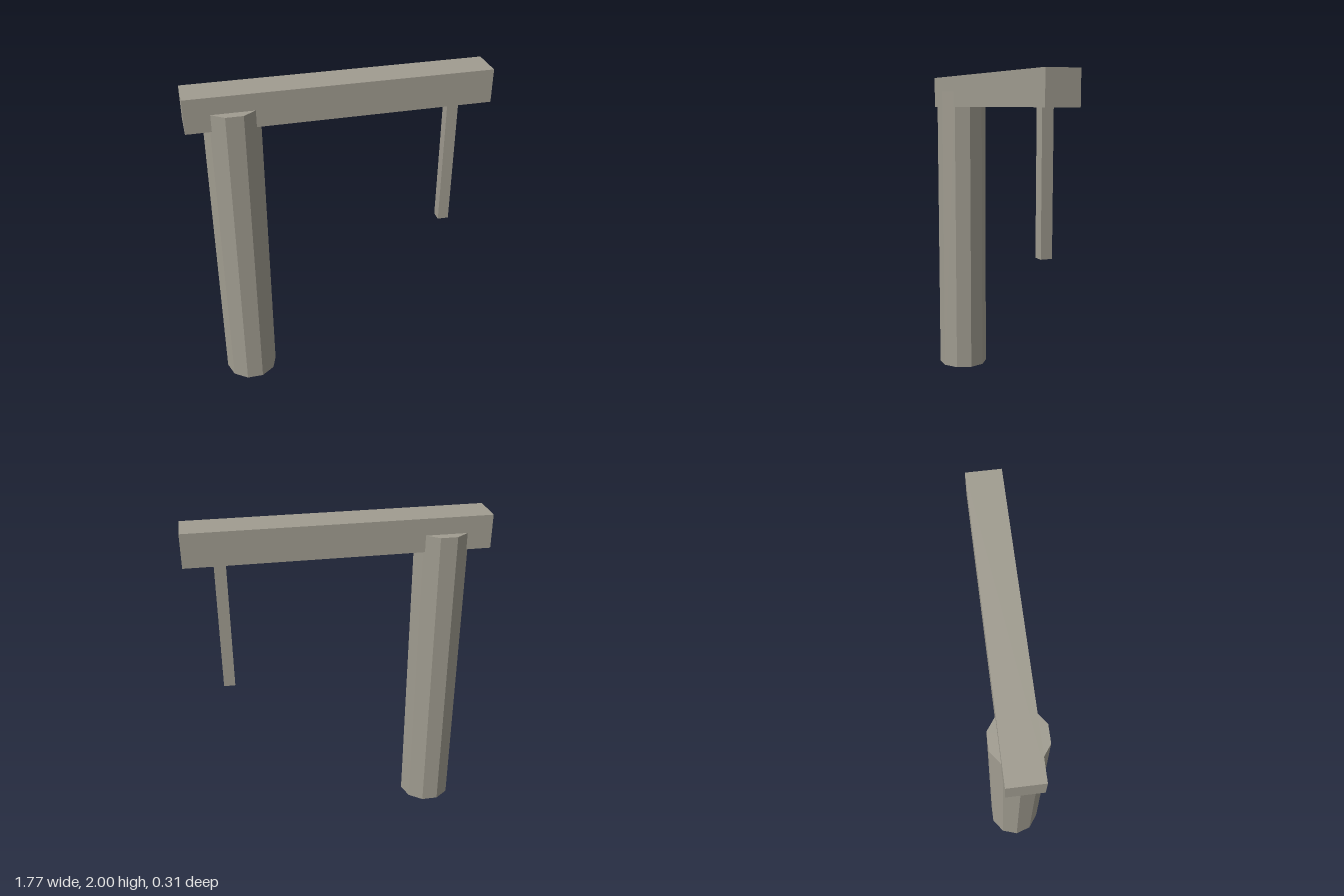
import * as THREE from 'three';

export function createModel() {
  const group = new THREE.Group();
  const stone = new THREE.MeshStandardMaterial({ color: 0xa09c90, flatShading: true });
  stone.name = 'stone';

  const add = (name, geometry, x, y) => {
    const mesh = new THREE.Mesh(geometry, stone);
    mesh.name = name;
    mesh.position.set(x, y, 0);
    group.add(mesh);
  };

  // Ten-sided post with corners on the x axis, let into the beam
  add('post', new THREE.CylinderGeometry(0.163, 0.163, 1.9, 10, 1, false, Math.PI / 2), -0.615, 0.95);

  // Horizontal beam
  add('beam', new THREE.BoxGeometry(1.766, 0.2, 0.204), 0, 1.9);

  // Square bar hanging from the free end
  add('hangingBar', new THREE.BoxGeometry(0.068, 0.82, 0.068), 0.677, 1.39);

  return group;
}
